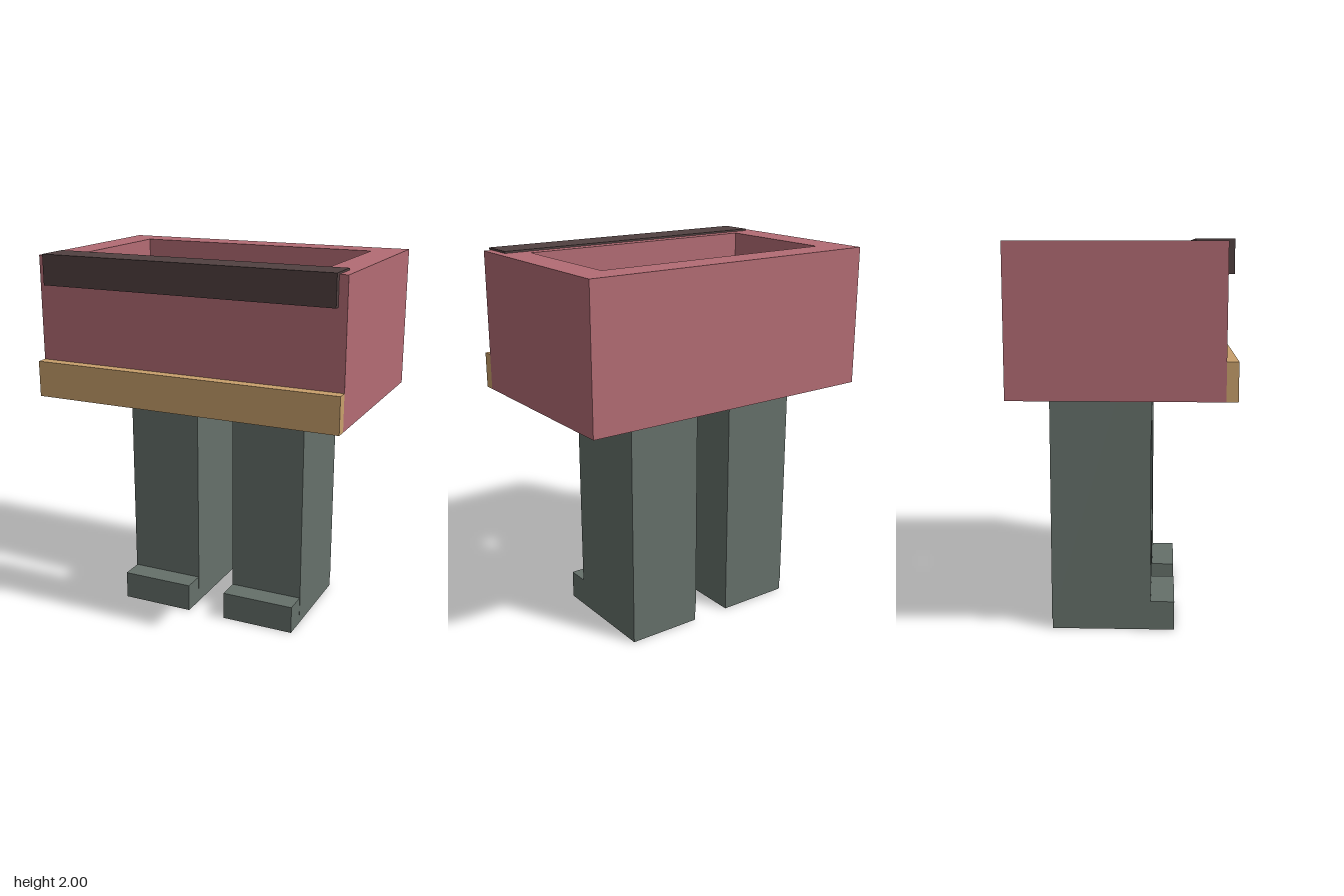
import * as THREE from 'three';

const paint = (name, color) => {
  const m = new THREE.MeshStandardMaterial({ color });
  m.name = name;
  return m;
};

export function createModel() {
  const red = paint('dusty red', 0xb36c74);
  const tan = paint('tan', 0xc9a06c);
  const grey = paint('grey green', 0x65706a);
  const dark = paint('dark brown', 0x514141);

  const model = new THREE.Group();
  model.name = 'model';

  // Box given by its lower and upper corners
  const addBox = (name, material, [x0, y0, z0], [x1, y1, z1], parent = model) => {
    const mesh = new THREE.Mesh(new THREE.BoxGeometry(x1 - x0, y1 - y0, z1 - z0), material);
    mesh.position.set((x0 + x1) / 2, (y0 + y1) / 2, (z0 + z1) / 2);
    mesh.name = name;
    parent.add(mesh);
  };

  // Body: a rectangular ring, open above and below (shape y becomes -z)
  const rect = (path, x, y0, y1) =>
    path.moveTo(-x, y0).lineTo(x, y0).lineTo(x, y1).lineTo(-x, y1).closePath();
  const outline = rect(new THREE.Shape(), 0.835, -0.49, 0.55);
  outline.holes.push(rect(new THREE.Path(), 0.672, -0.285, 0.388));
  const ring = new THREE.ExtrudeGeometry(outline, { depth: 0.74, bevelEnabled: false });
  ring.rotateX(-Math.PI / 2);
  const body = new THREE.Mesh(ring, red);
  body.position.y = 1.25;
  body.name = 'body';
  model.add(body);

  // Bars on the front
  addBox('lowerBar', tan, [-0.835, 1.25, 0.49], [0.835, 1.44, 0.547]);
  addBox('upperBar', dark, [-0.795, 1.84, 0.34], [0.79, 2, 0.52]);

  // Legs reach up inside the body; each stands on a longer foot
  for (const [side, x] of [['left', 0.308], ['right', -0.311]]) {
    const leg = new THREE.Group();
    leg.name = side + 'Leg';
    addBox('shin', grey, [x - 0.204, 0.05, -0.376], [x + 0.204, 1.81, 0.137], leg);
    addBox('foot', grey, [x - 0.202, 0, -0.373], [x + 0.202, 0.152, 0.26], leg);
    model.add(leg);
  }

  return model;
}
